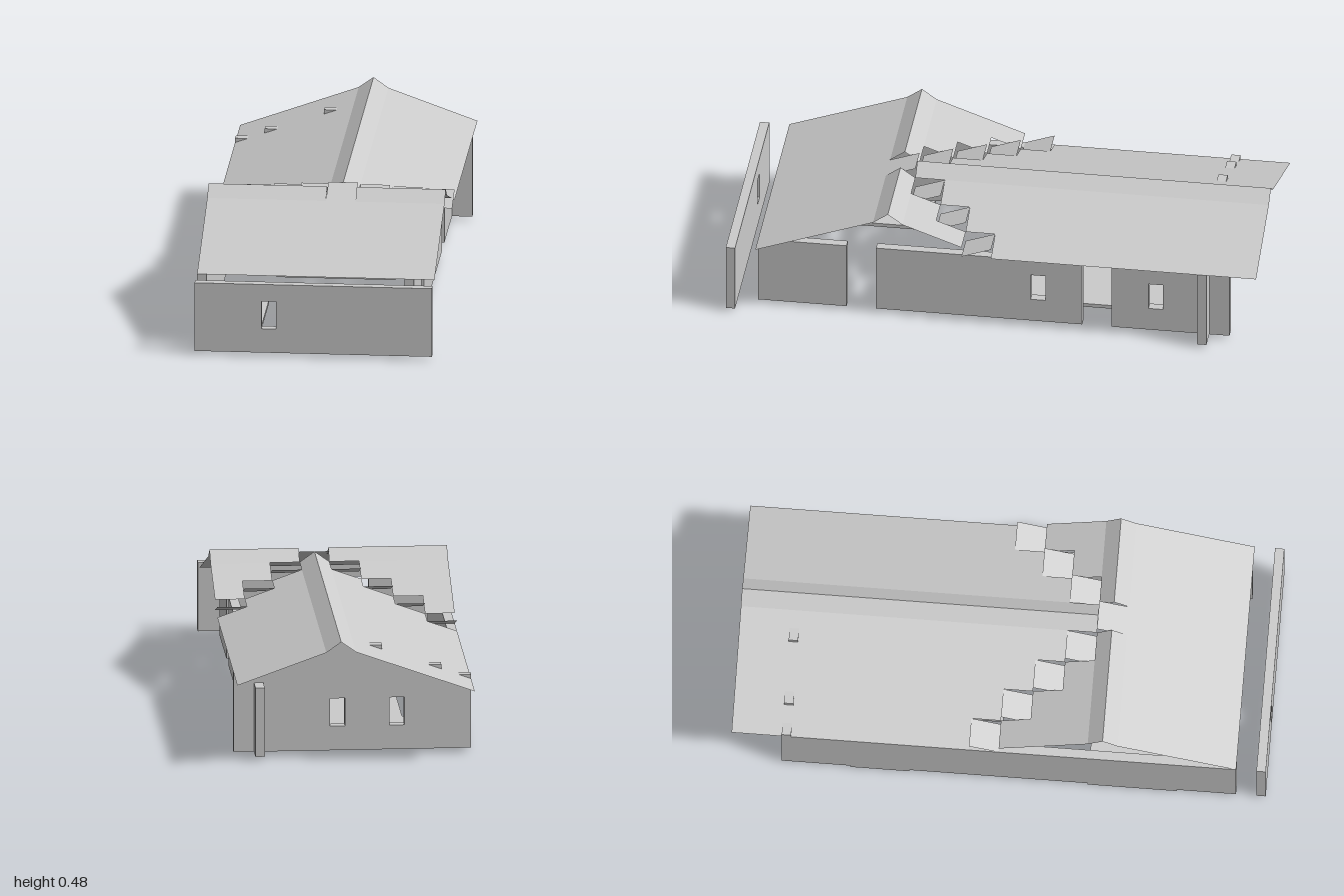
import * as THREE from 'three';

const C = 1 / 9;            // grid cell
const T = 0.035;            // wall thickness
const BASE = 0.014, TOP = 0.28, STEP = 0.04;

export function createModel() {
  const group = new THREE.Group();
  const solid = new THREE.MeshStandardMaterial({ color: 0xcccccc, flatShading: true });
  const thin = new THREE.MeshStandardMaterial({ color: 0xcccccc, flatShading: true, side: THREE.DoubleSide });

  const add = (name, geometry, material = solid) => {
    const mesh = new THREE.Mesh(geometry, material);
    mesh.name = name;
    group.add(mesh);
    return mesh;
  };

  // Upright slab with window holes, cut from an outline in (along, y)
  const wallGeometry = (outline, windows) => {
    const shape = new THREE.Shape(outline.map(([u, y]) => new THREE.Vector2(u, y)));
    for (const u of windows) {
      const w = C / 4;
      shape.holes.push(new THREE.Path([
        [u - w, 0.107], [u - w, 0.214], [u + w, 0.214], [u + w, 0.107],
      ].map(([a, b]) => new THREE.Vector2(a, b))));
    }
    return new THREE.ExtrudeGeometry(shape, { depth: T, bevelEnabled: false });
  };
  const rect = (a, b) => [[a, BASE], [b, BASE], [b, TOP], [a, TOP]];
  const wallAlongX = (name, outline, z, windows = []) => {
    add(name, wallGeometry(outline, windows)).position.z = z;
  };
  const wallAlongZ = (name, z0, z1, x, windows = []) => {
    const geometry = wallGeometry(rect(z0, z1), windows).rotateY(-Math.PI / 2);
    add(name, geometry).position.x = x + T;
  };

  // Walls
  wallAlongX('frontWall', rect(-4 * C, 4 * C), 1 - T, [-1.5 * C]);
  wallAlongZ('rightWall', -7 * C - T, 8 * C, -4 * C);
  wallAlongZ('leftWallFront', 5 * C, 8 * C, 3 * C);
  wallAlongZ('leftWallMiddle', -3 * C, 4 * C, 3 * C, [-1.5 * C]);
  wallAlongZ('leftWallBack', -8 * C, -4 * C, 3 * C, [-5.5 * C]);

  // Back gable wall, stepped under the roof with a few corners poking through
  const columnTops = [0.297, 0.337, 0.36, 0.417, 0.44, 0.40, 0.36, 0.32];
  const gable = [[-4 * C, BASE], [4 * C, BASE]];
  for (let i = 7; i >= 0; i--) {
    gable.push([(i - 3) * C, columnTops[i]], [(i - 4) * C, columnTops[i]]);
  }
  wallAlongX('backGableWall', gable, -7 * C - T, [0.5 * C, -1.5 * C]);

  // Roof sheets: each strip is [[x0,y00,x1,y01 at z0], ...] as a sloping quad
  const roofSheets = { mainRoof: [], crossRoof: [], valleyTiles: [] };
  const quad = (name, a, b, c, d) => roofSheets[name].push(...a, ...b, ...c, ...a, ...c, ...d);
  const slopeX = (name, x0, y0, x1, y1, z0, z1) =>
    quad(name, [x0, y0, z0], [x0, y0, z1], [x1, y1, z1], [x1, y1, z0]);
  const slopeZ = (name, x0, x1, z0, y0, z1, y1) =>
    quad(name, [x0, y0, z0], [x0, y0, z1].with(1, y1), [x1, y1, z1], [x1, y0, z0]);

  for (let i = 0; i < 8; i++) {
    const x0 = (i - 4) * C, x1 = x0 + C;
    const k = Math.abs(i - 4);              // cells away from the ridge column
    const end = (3 - k) * C;                // where the main roof stops
    const high = 0.48 - k * STEP, low = high - STEP;

    // Main roof column
    if (k === 0) {
      slopeX('mainRoof', x0, low, x0 + C / 2, high, -1, end);
      slopeX('mainRoof', x0 + C / 2, high, x1, low, -1, end);
    } else if (i < 4) slopeX('mainRoof', x0, low, x1, high, -1, end);
    else slopeX('mainRoof', x0, high, x1, low, -1, end);

    // Valley tile facing the front
    slopeZ('valleyTiles', x0, x1, end, high, end + C, low);

    // Cross roof column: front slope, ridge cap and back slope
    slopeZ('crossRoof', x0, x1, 4 * C, 0.44, 8 * C, 0.28);
    if (k > 0) {
      slopeZ('crossRoof', x0, x1, 3.5 * C, 0.48, 4 * C, 0.44);
      slopeZ('crossRoof', x0, x1, 3 * C, 0.44, 3.5 * C, 0.48);
      if (k > 1) slopeZ('crossRoof', x0, x1, end + C, high, 3 * C, 0.44);
    }
  }
  for (const [name, points] of Object.entries(roofSheets)) {
    const geometry = new THREE.BufferGeometry();
    geometry.setAttribute('position', new THREE.Float32BufferAttribute(points, 3));
    geometry.computeVertexNormals();
    add(name, geometry, thin);
  }

  // Floor slabs
  const slab = (name, x0, x1, z0, z1, y = BASE / 2) => {
    add(name, new THREE.BoxGeometry(x1 - x0, BASE, z1 - z0))
      .position.set((x0 + x1) / 2, y, (z0 + z1) / 2);
  };
  slab('mainFloor', -2 * C, 2 * C, -6 * C, 0);
  slab('frontFloor', -4 * C, -2 * C, 3 * C, 6 * C);
  slab('backFloor', -4 * C, -2 * C, -5 * C, -3 * C);

  // Small shelves behind the front wall
  for (const x of [1.5 * C, -2.5 * C]) {
    slab('shelf', x - 0.04, x + 0.04, 7.5 * C - 0.04, 7.5 * C + 0.04, 0.115);
  }

  return group;
}
